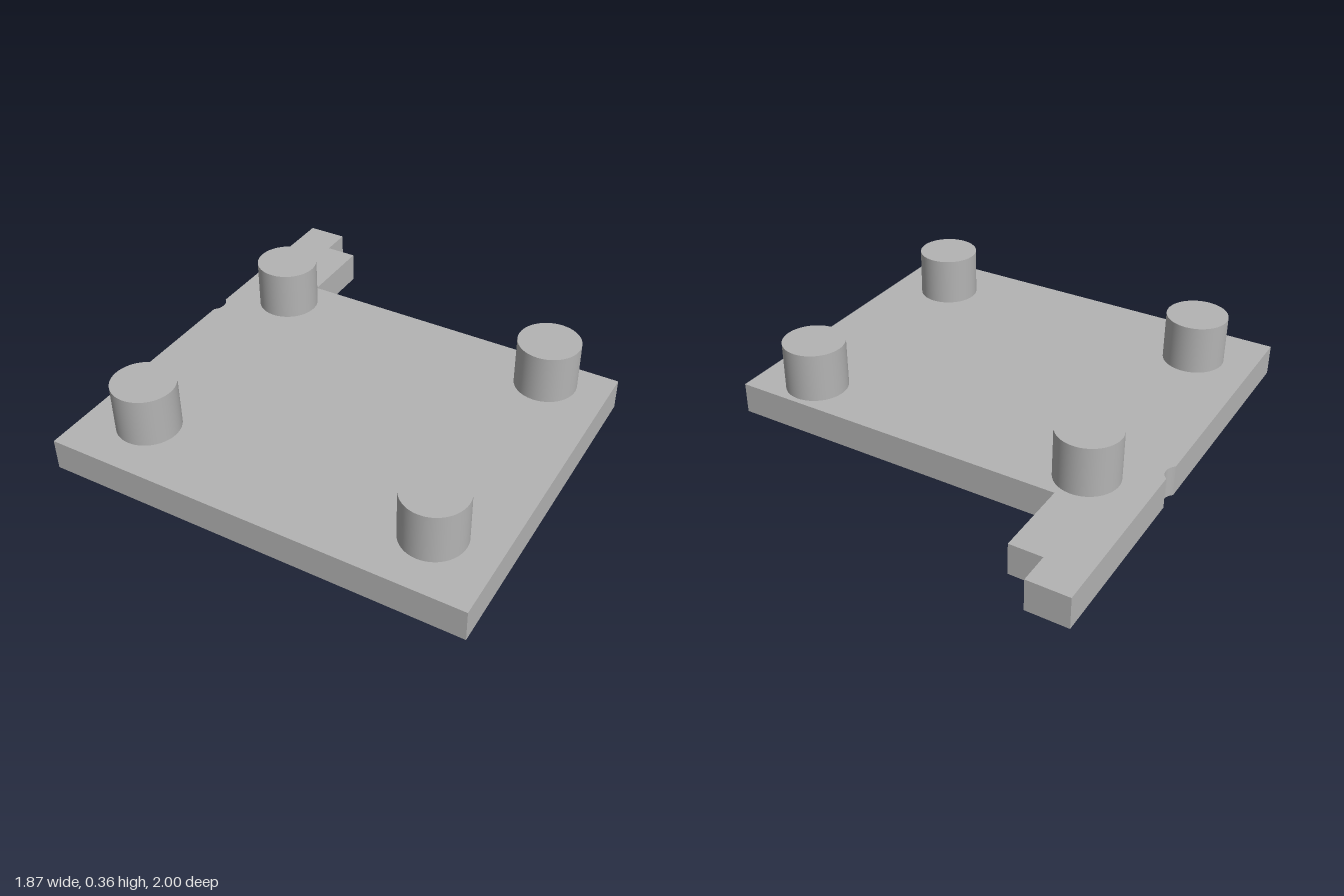
import * as THREE from 'three';

const PLATE_TOP = 0.14;
const PEG_TOP = 0.36;

export function createModel() {
  const model = new THREE.Group();
  model.name = 'peggedPlate';
  const grey = new THREE.MeshStandardMaterial({ color: 0xb4b4b4 });
  grey.name = 'grey';

  // Plate outline (shape y is -z): stepped arm at the back right, shallow round notch on the right edge
  const outline = new THREE.Shape();
  outline.moveTo(-0.933, -1);
  outline.lineTo(0.933, -1);
  outline.lineTo(0.933, 0.51);
  outline.lineTo(-0.605, 0.51);
  outline.lineTo(-0.605, 0.863);
  outline.lineTo(-0.75, 0.863);
  outline.lineTo(-0.75, 1);
  outline.lineTo(-0.933, 1);
  const notchAngle = Math.acos(0.04 / 0.062);
  outline.absarc(-0.973, 0.16, 0.062, notchAngle, -notchAngle, true);
  outline.closePath();

  const plateGeometry = new THREE.ExtrudeGeometry(outline, {
    depth: PLATE_TOP, bevelEnabled: false, curveSegments: 16,
  });
  plateGeometry.rotateX(-Math.PI / 2);
  const plate = new THREE.Mesh(plateGeometry, grey);
  plate.name = 'plate';
  model.add(plate);

  // Four round pegs standing on the plate
  const pegHeight = PEG_TOP - PLATE_TOP;
  const pegGeometry = new THREE.CylinderGeometry(0.137, 0.137, pegHeight, 64);
  for (const [end, z] of [['front', 0.723], ['back', -0.347]]) {
    for (const [side, x] of [['Left', 0.659], ['Right', -0.661]]) {
      const peg = new THREE.Mesh(pegGeometry, grey);
      peg.name = `${end}${side}Peg`;
      peg.position.set(x, PLATE_TOP + pegHeight / 2, z);
      model.add(peg);
    }
  }
  return model;
}
